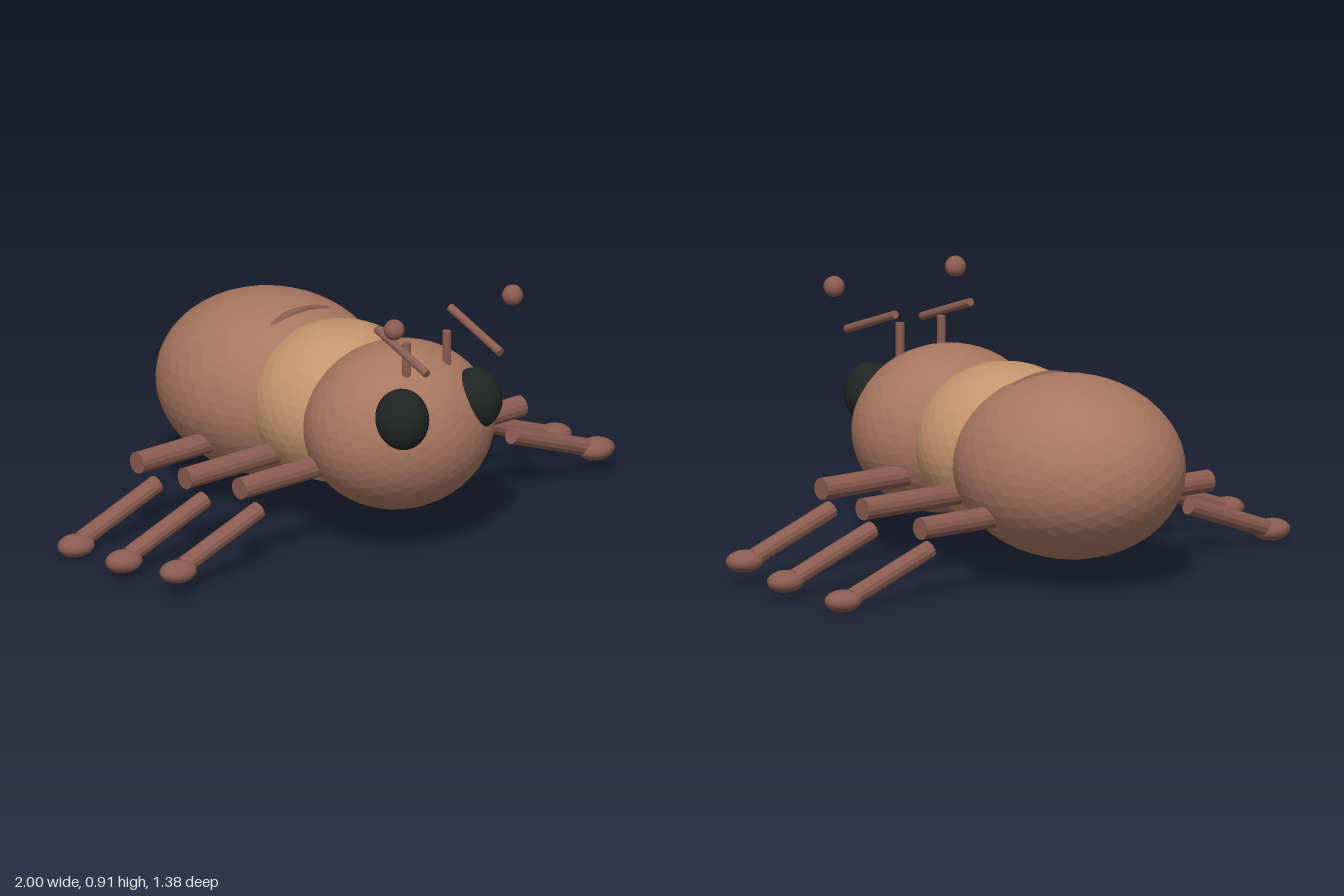
import * as THREE from 'three';

const mat = (color) => new THREE.MeshStandardMaterial({ color, flatShading: true });

export function createModel() {
  const model = new THREE.Group();
  const shell = mat(0xa87660);
  const waist = mat(0xc4946c);
  const limb = mat(0x8a5c50);
  const dark = mat(0x222424);

  function ellipsoid(name, material, center, radii, detail, parent = model) {
    const mesh = new THREE.Mesh(new THREE.IcosahedronGeometry(1, detail), material);
    mesh.name = name;
    mesh.position.set(...center);
    mesh.scale.set(...radii);
    parent.add(mesh);
    return mesh;
  }

  // Straight round bar between two points
  function bar(name, from, to, radius, sides, parent) {
    const a = new THREE.Vector3(...from);
    const b = new THREE.Vector3(...to);
    const dir = b.clone().sub(a);
    const mesh = new THREE.Mesh(new THREE.CylinderGeometry(radius, radius, dir.length(), sides), limb);
    mesh.name = name;
    mesh.position.copy(a).add(b).multiplyScalar(0.5);
    mesh.quaternion.setFromUnitVectors(new THREE.Vector3(0, 1, 0), dir.normalize());
    parent.add(mesh);
  }

  // Body
  ellipsoid('head', shell, [0, 0.41, 0.36], [0.33, 0.28, 0.295], 7);
  ellipsoid('thorax', waist, [0, 0.41, 0.06], [0.305, 0.268, 0.29], 7);
  ellipsoid('abdomen', shell, [0, 0.385, -0.275], [0.365, 0.305, 0.415], 7);

  // Ridge arching over the front of the abdomen
  const arc = 1.2;
  const ridge = new THREE.Mesh(new THREE.TorusGeometry(0.275, 0.017, 8, 20, arc), limb);
  ridge.name = 'abdomenRidge';
  ridge.position.set(0, 0.39, -0.14);
  ridge.rotation.z = (Math.PI - arc) / 2;
  model.add(ridge);

  // Per leg: upper height, upper z, sideways shift
  const legs = [
    ['front', 0.3, 0.265, 0],
    ['middle', 0.275, 0.02, 0.025],
    ['rear', 0.25, -0.25, 0],
  ];

  for (const [side, s] of [['left', 1], ['right', -1]]) {
    ellipsoid(side + 'Eye', dark, [s * 0.16, 0.515, 0.56], [0.09, 0.105, 0.092], 7);

    // Antenna in three separate pieces
    const antenna = new THREE.Group();
    antenna.name = side + 'Antenna';
    bar('antennaBase', [s * 0.088, 0.62, 0.5], [s * 0.088, 0.752, 0.5], 0.015, 10, antenna);
    bar('antennaRod', [s * 0.16, 0.711, 0.688], [s * 0.16, 0.8, 0.435], 0.014, 10, antenna);
    ellipsoid('antennaTip', limb, [s * 0.258, 0.875, 0.635], [0.035, 0.035, 0.035], 3, antenna);
    model.add(antenna);

    for (const [name, y, z, dx] of legs) {
      const leg = new THREE.Group();
      leg.name = side + name[0].toUpperCase() + name.slice(1) + 'Leg';
      bar('upperLeg', [s * (0.2 + dx), y, z], [s * (0.613 + dx), y, z], 0.037, 14, leg);
      bar('lowerLeg', [s * (0.55 + dx), y - 0.08, z + 0.026], [s * (0.88 + dx), y - 0.2, z + 0.026], 0.03, 12, leg);
      ellipsoid('foot', limb, [s * (0.91 + dx), y - 0.209, z + 0.036], [0.066, 0.037, 0.055], 4, leg);
      model.add(leg);
    }
  }
  return model;
}
